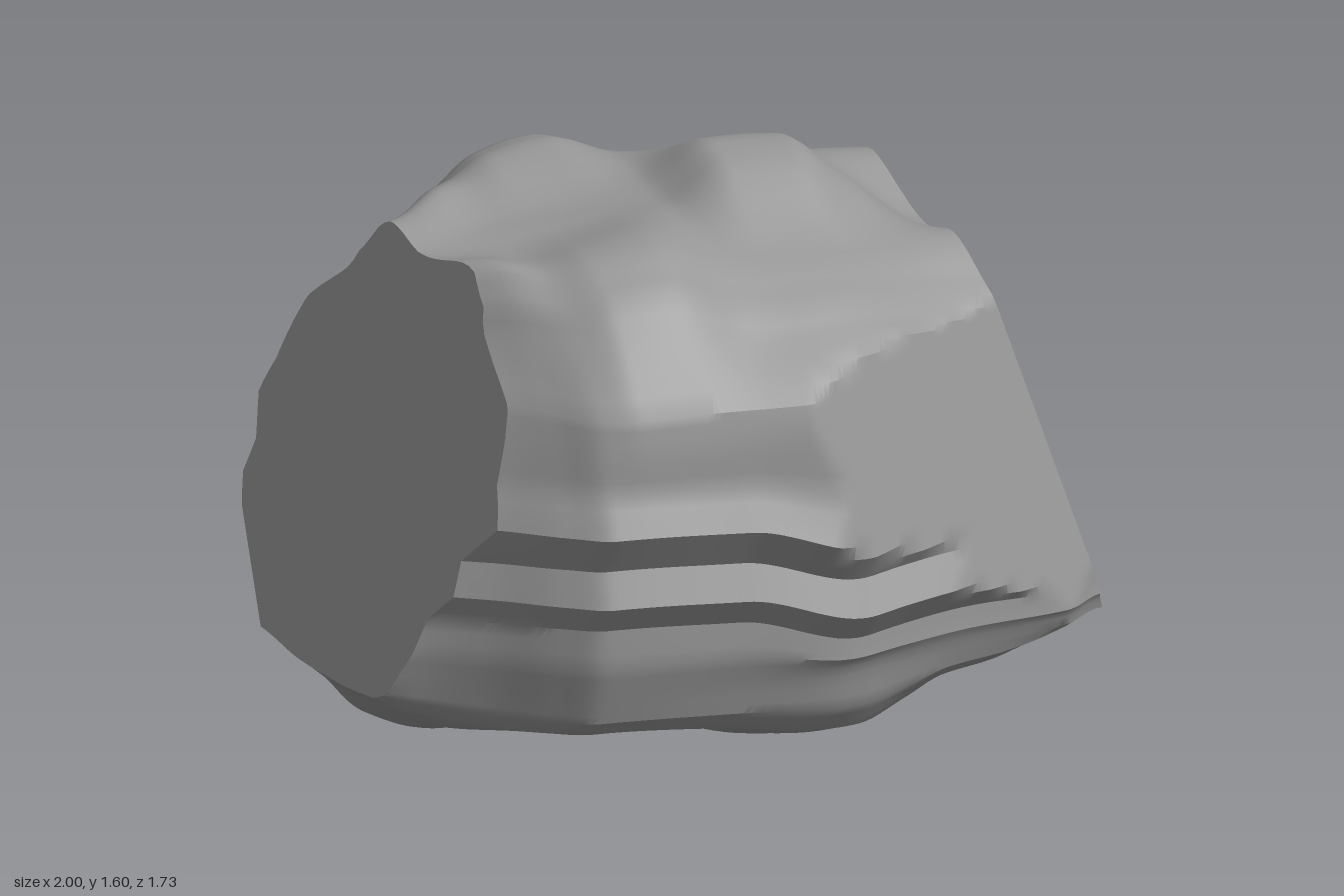
import * as THREE from 'three';
import { toCreasedNormals } from 'three/addons/utils/BufferGeometryUtils.js';

const { lerp, smoothstep } = THREE.MathUtils;

// Smooth lookup in a list of [x, value] that never overshoots
function along(list, x) {
  const last = list.length - 1;
  if (x <= list[0][0]) return list[0][1];
  if (x >= list[last][0]) return list[last][1];
  const slope = (i) => (i < 0 || i >= last ? 0 : (list[i + 1][1] - list[i][1]) / (list[i + 1][0] - list[i][0]));
  const tangent = (i) => {
    const a = slope(i - 1), b = slope(i);
    return a * b > 0 ? 2 * a * b / (a + b) : 0;
  };
  const i = list.findIndex(([end]) => end > x) - 1;
  const [x0, v0] = list[i], [x1, v1] = list[i + 1];
  const h = x1 - x0, t = (x - x0) / h, s = t * t * (3 - 2 * t);
  return lerp(v0, v1, s) + h * t * (1 - t) * ((1 - t) * tangent(i) - t * tangent(i + 1));
}

// How the boulder changes along its length
const width = [[-1, 0.4], [-0.8, 0.49], [-0.65, 0.6], [-0.5, 0.74], [-0.4, 0.81],
  [0, 0.85], [0.2, 0.87], [0.4, 0.83], [0.6, 0.785], [0.87, 0.745], [1, 0.66]];
const crest = [[-0.65, 1.45], [-0.3, 1.48], [0, 1.5], [0.18, 1.6], [0.36, 1.6],
  [0.5, 1.5], [0.71, 1.33], [1, 1.25]];
const ridge = [[-0.65, 1.48], [-0.5, 1.51], [-0.42, 1.5], [-0.3, 1.53], [-0.14, 1.54], [0.05, 1.48],
  [0.3, 1.46], [0.5, 1.43], [0.71, 1.41], [1, 1.32]];
const belly = [[-1, 0.4], [-0.9, 0.33], [-0.8, 0.22], [-0.62, 0.15], [-0.38, 0.16], [-0.05, 0.1],
  [0.17, 0.02], [0.31, 0], [0.45, 0.11], [0.55, 0.2], [0.68, 0.23], [0.8, 0.31], [0.87, 0.38], [1, 0.45]];

// Half outline [z, y] from the crest over the ledges to the keel
const outline = [[0, 1.6], [0.12, 1.6], [0.27, 1.6], [0.4, 1.59], [0.53, 1.53], [0.64, 1.4], [0.77, 1.23],
  [0.79, 1.14], [0.8, 1.03], [0.87, 0.93], [0.79, 0.82], [0.84, 0.73], [0.77, 0.65], [0.775, 0.55],
  [0.745, 0.45], [0.725, 0.35], [0.665, 0.27], [0.45, 0.17], [0.27, 0.1], [0.14, 0.04], [0.06, 0.01], [0, 0]];

function makeRing() {
  const half = [];
  for (let i = 0; i < outline.length - 1; i++) {
    for (let s = 0; s < 3; s++) {
      half.push([lerp(outline[i][0], outline[i + 1][0], s / 3), lerp(outline[i][1], outline[i + 1][1], s / 3)]);
    }
  }
  const back = half.slice(1).reverse().map(([z, y]) => [-z, y]);
  return [...half, [0, 0], ...back];
}

// Point of the boulder's skin at x for one outline point
function skin(x, [z0, y0]) {
  const side = Math.sign(z0);
  let a = Math.abs(z0), y = y0;
  if (y0 > 1.2) {
    const top = lerp(along(crest, x), along(ridge, x), smoothstep(a, 0.03, 0.38));
    y = 1.2 + (y0 - 1.2) * (top - 1.2) / 0.4;
    // Gentle swells, and shoulders that slump away from the highest one
    y += 0.015 * Math.sin(8 * x + 1 + side) * Math.sin(a * 8) * smoothstep(y0, 1.2, 1.4);
    const slump = 1 - Math.exp(-((x + 0.15) ** 2) / 0.05);
    y -= 0.045 * slump * smoothstep(a, 0.3, 0.55) * (1 - smoothstep(a, 0.55, 0.77));
  } else if (y0 < 0.45) {
    y = 0.45 - (0.45 - y0) * (0.45 - along(belly, x)) / 0.45;
  } else {
    // Ledges step down towards +x and vary in depth
    const fade = smoothstep(y0, 0.45, 0.65) * (1 - smoothstep(y0, 0.93, 1.2));
    const step = smoothstep(x - 0.05 * side, -0.1, 0.25);
    y -= fade * (0.09 * step + 0.01 * Math.sin(7 * x + side));
    a = lerp(a, 0.8, fade * (0.08 + 0.08 * Math.sin(4 * x + 2 * side)));
  }
  // The shoulders draw in towards the -x end
  a *= 1 - 0.36 * smoothstep(-x, 0.3, 0.7) * smoothstep(y0, 0.9, 1.5);
  let z = side * a * along(width, x) / 0.87;
  // Flat breaks at the front +x and back -x corners
  z = Math.min(z, 1.202 - 0.44 * x - 0.306 * y);
  z = Math.max(z, -1.11 - 1.24 * x - 0.69 * y);
  return new THREE.Vector3(x, y, z);
}

// Flat breaks closing the two ends
const leftBreak = (p) => (1.087 - 0.289 * p.y) / 0.957;
const rightBreak = (p) => -1.096 + 0.318 * p.y + 0.257 * p.z;

function meet(plane, start, o) {
  let x = start;
  for (let k = 0; k < 40; k++) x = lerp(x, plane(skin(x, o)), 0.5);
  return x;
}

function toMesh(name, triangles, crease) {
  const geometry = new THREE.BufferGeometry().setFromPoints(triangles);
  const mesh = new THREE.Mesh(toCreasedNormals(geometry, crease),
    new THREE.MeshStandardMaterial({ color: 0x979797 }));
  mesh.name = name;
  return mesh;
}

function endFace(name, points, flip) {
  const centre = points.reduce((s, p) => s.add(p), new THREE.Vector3()).divideScalar(points.length);
  const triangles = [];
  points.forEach((p, j) => {
    const q = points[(j + 1) % points.length];
    triangles.push(centre, ...(flip ? [q, p] : [p, q]));
  });
  return toMesh(name, triangles, 0.3);
}

export function createModel() {
  const group = new THREE.Group();
  group.name = 'boulder';
  const ring = makeRing(), n = ring.length, steps = 96;

  // Run every outline point from one end break to the other
  const rows = Array.from({ length: steps + 1 }, () => []);
  ring.forEach((o) => {
    const x0 = meet(rightBreak, -0.9, o), x1 = meet(leftBreak, 0.9, o);
    rows.forEach((row, i) => row.push(skin(lerp(x0, x1, i / steps), o)));
  });

  const triangles = [];
  for (let i = 0; i < steps; i++) {
    for (let j = 0; j < n; j++) {
      const k = (j + 1) % n;
      const a = rows[i][j], b = rows[i][k], c = rows[i + 1][k], d = rows[i + 1][j];
      triangles.push(a, b, d, b, c, d);
    }
  }
  group.add(toMesh('weatheredSurface', triangles, 0.5));
  group.add(endFace('rightBreakFace', rows[0], true));
  group.add(endFace('leftBreakFace', rows[steps], false));
  return group;
}
